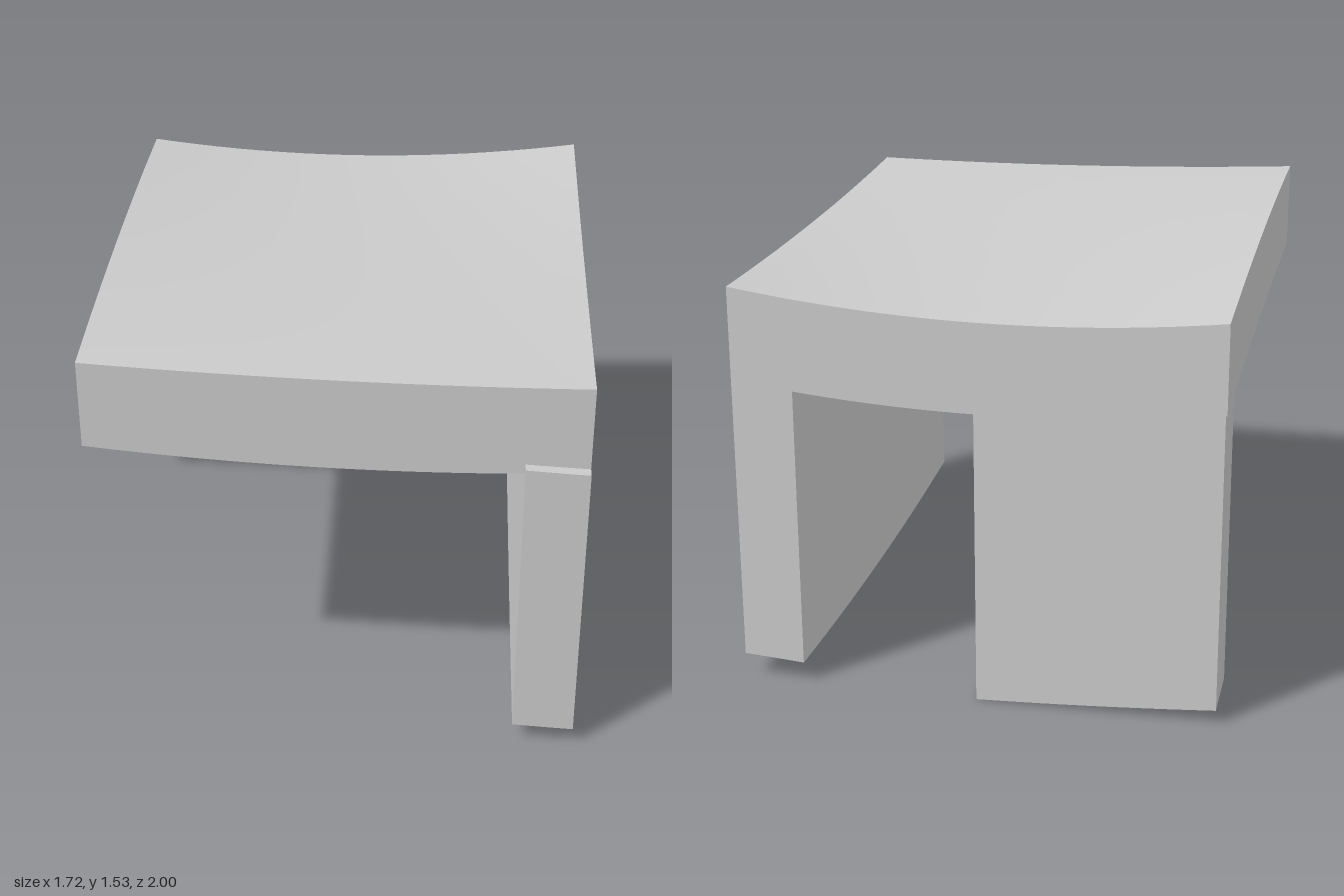
import * as THREE from 'three';

const material = new THREE.MeshStandardMaterial({ color: 0xcccccc });

// Smooth curve through three values at t = 0, 0.5 and 1
const curve = ([a, b, c], t) =>
  a * (1 - t) * (1 - 2 * t) + b * 4 * t * (1 - t) + c * t * (2 * t - 1);

// Height of a gently warped sheet; grid rows run from back to front, columns along +x
const sheet = (grid, u, v) => curve(grid.map((row) => curve(row, u)), v);

// Box whose top and bottom follow warped sheets
function warpedBlock(name, [x0, x1], [z0, z1], low, high) {
  const geometry = new THREE.BoxGeometry(1, 1, 1, 20, 1, 20);
  const p = geometry.attributes.position;
  for (let i = 0; i < p.count; i++) {
    const u = p.getX(i) + 0.5;
    const v = p.getZ(i) + 0.5;
    const y = sheet(p.getY(i) > 0 ? high : low, u, v);
    p.setXYZ(i, x0 + (x1 - x0) * u, y, z0 + (z1 - z0) * v);
  }
  geometry.computeVertexNormals();
  const mesh = new THREE.Mesh(geometry, material);
  mesh.name = name;
  return mesh;
}

const raise = (grid, h) => grid.map((row) => row.map((y) => y + h));

export function createModel() {
  const group = new THREE.Group();
  group.name = 'warpedTable';

  // Thick sagging top slab
  group.add(warpedBlock('topSlab', [-0.86, 0.86], [-1, 0.96],
    [[1.14, 1.08, 1.14], [1.19, 1.125, 1.13], [1.2, 1.14, 1.15]],
    [[1.458, 1.405, 1.475], [1.517, 1.455, 1.457], [1.525, 1.485, 1.478]]));

  // Long wall along the left side
  const sideFoot = [[0.075, 0.083, 0.09], [0.049, 0.058, 0.067], [0.08, 0.073, 0.067]];
  group.add(warpedBlock('sideWall', [0.64, 0.86], [-1, 1], sideFoot, raise(sideFoot, 1.1)));

  // Short wall across the right half of the back
  const backFoot = [[0.052, 0.021, 0], [0.059, 0.026, 0.002], [0.065, 0.03, 0.005]];
  group.add(warpedBlock('backWall', [-0.855, 0], [-1, -0.78], backFoot, raise(backFoot, 1.1)));

  return group;
}
